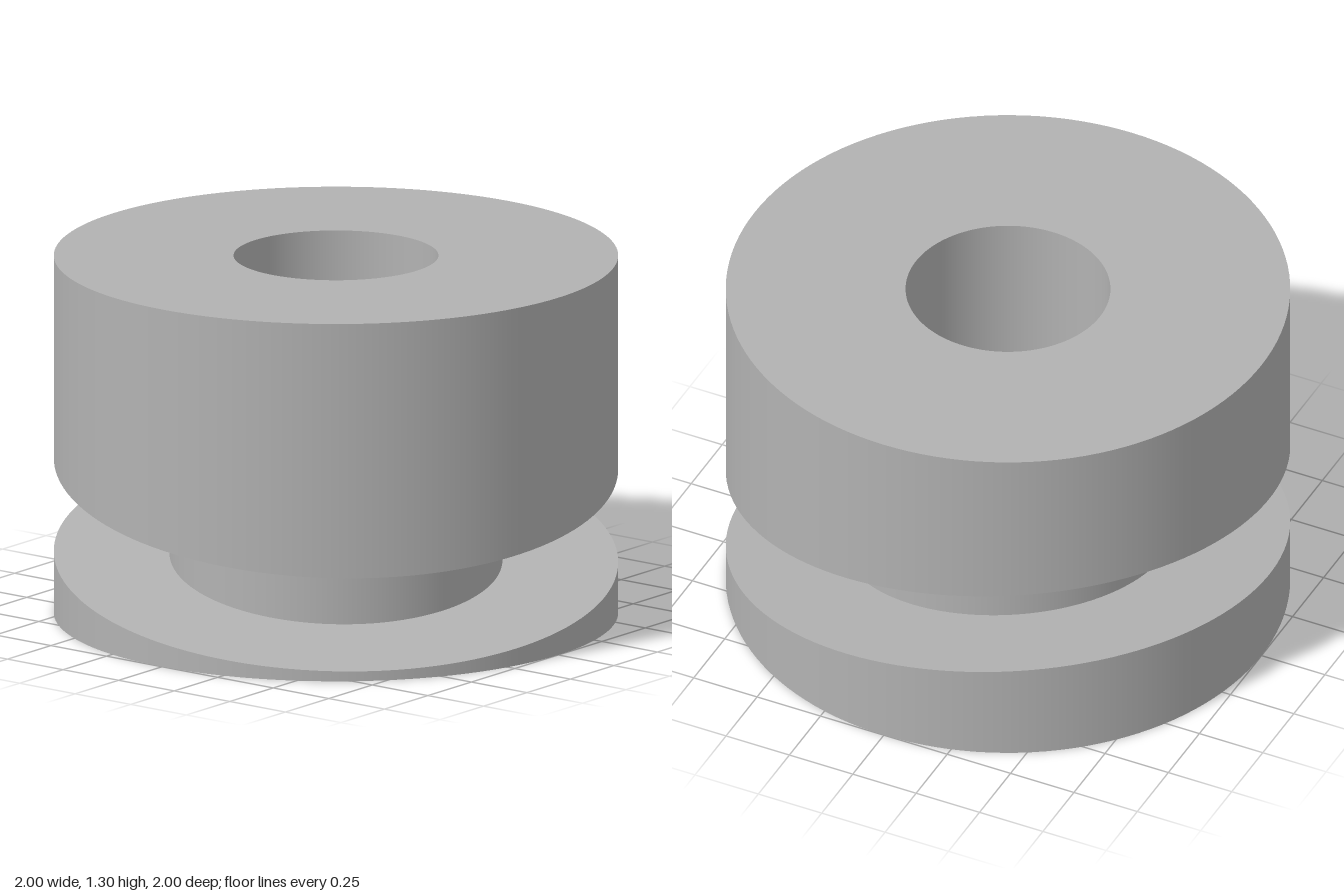
import * as THREE from 'three';
import { mergeGeometries } from 'three/addons/utils/BufferGeometryUtils.js';

const OUTER = 1, CORE = 0.59, BORE = 0.363, TOP = 1.305;
const LIP = 0.205, UPPER = 0.545; // mean heights of the two tilted groove faces
const SLOPE = 0.12;               // groove rises towards +x and -z

// Revolve one profile edge; ends marked tilted are sheared onto the groove plane
function ring([r0, y0, tilt0], [r1, y1, tilt1]) {
  const g = new THREE.LatheGeometry([new THREE.Vector2(r0, y0), new THREE.Vector2(r1, y1)], 128);
  const p = g.attributes.position;
  for (let i = 0; i < p.count; i++) {
    const tilted = i % 2 === 0 ? tilt0 : tilt1;
    if (tilted) p.setY(i, p.getY(i) + SLOPE * (p.getX(i) - p.getZ(i)));
  }
  if (r0 !== r1) g.computeVertexNormals(); // flat faces; walls keep radial normals
  return g;
}

// Join the rings between successive profile points, keeping edges sharp
function part(name, points, material) {
  const rings = points.slice(1).map((pt, i) => ring(points[i], pt));
  const mesh = new THREE.Mesh(mergeGeometries(rings), material);
  mesh.name = name;
  return mesh;
}

export function createModel() {
  const grey = new THREE.MeshStandardMaterial({ color: 0xb2b2b2 });
  grey.name = 'grey';
  const group = new THREE.Group();
  group.name = 'groovedBushing';
  group.add(
    // Base with tilted upper face
    part('lowerCollar', [[BORE, 0], [OUTER, 0], [OUTER, LIP, true], [CORE, LIP, true]], grey),
    // Narrow neck at the bottom of the groove
    part('grooveCore', [[CORE, LIP, true], [CORE, UPPER, true]], grey),
    // Tall collar with tilted underside
    part('upperCollar', [[CORE, UPPER, true], [OUTER, UPPER, true], [OUTER, TOP], [BORE, TOP]], grey),
    // Through hole
    part('bore', [[BORE, TOP], [BORE, 0]], grey)
  );
  return group;
}
